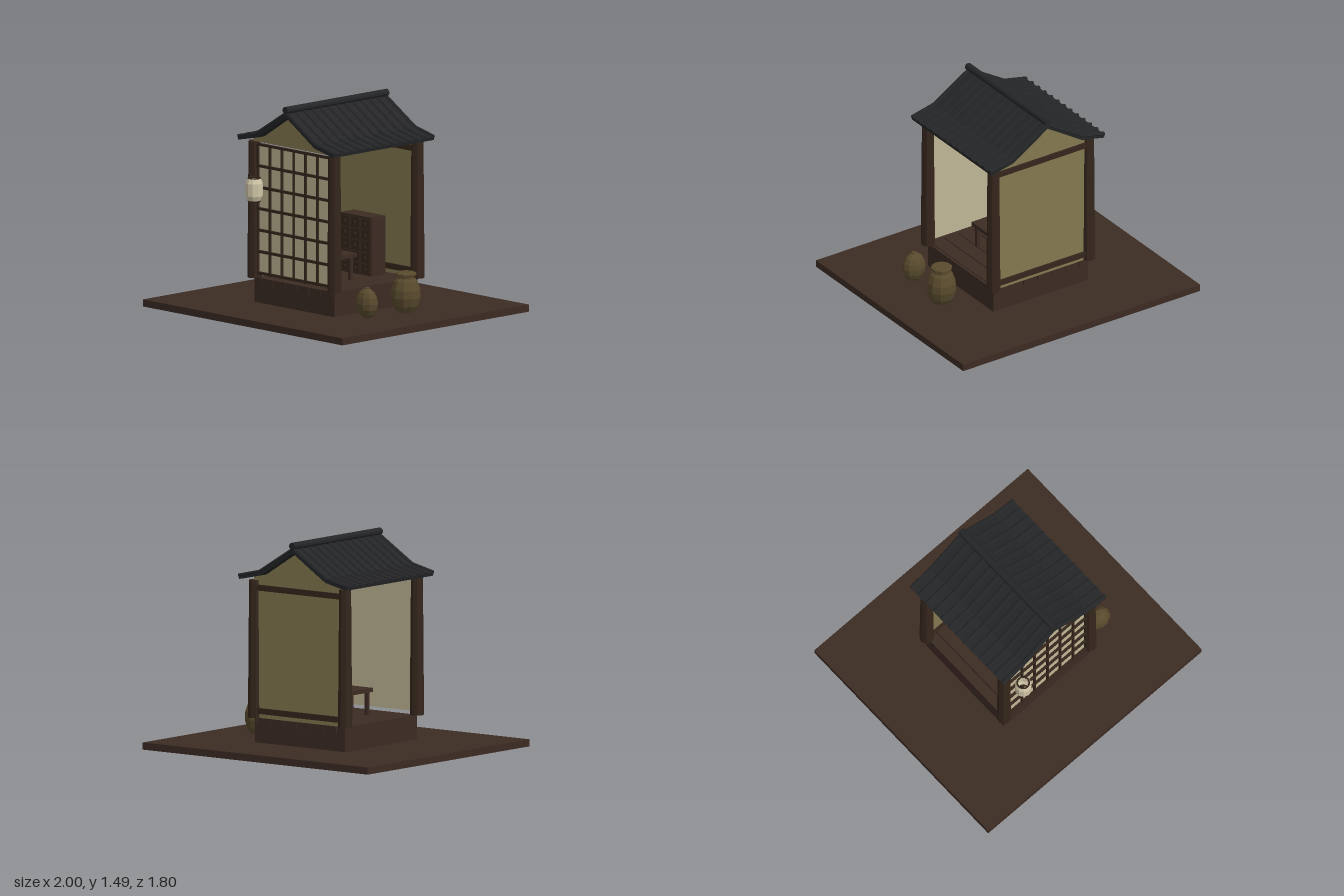
import * as THREE from 'three';

const mat = (name, color) => {
  const m = new THREE.MeshStandardMaterial({ color, flatShading: true });
  m.name = name;
  return m;
};

export function createModel() {
  const root = new THREE.Group();
  root.name = 'teaHouse';
  const wood = mat('brownWood', 0x3c2b23);
  const darkWood = mat('darkWood', 0x35261c);
  const plaster = mat('olivePlaster', 0x83784f);
  const paper = mat('screenPaper', 0xc0b695);
  const lanternPaper = mat('lanternPaper', 0xcfc4a6);
  const tile = mat('roofTile', 0x242527);
  const clay = mat('clay', 0x584a2d);
  lanternPaper.side = clay.side = THREE.DoubleSide;

  const add = (name, geo, material, x = 0, y = 0, z = 0, parent = root) => {
    const m = new THREE.Mesh(geo, material);
    m.name = name;
    m.position.set(x, y, z);
    parent.add(m);
    return m;
  };
  // box from its minimum and maximum corners
  const box = (name, material, x0, x1, y0, y1, z0, z1, parent = root) =>
    add(name, new THREE.BoxGeometry(x1 - x0, y1 - y0, z1 - z0), material,
      (x0 + x1) / 2, (y0 + y1) / 2, (z0 + z1) / 2, parent);
  const group = (name) => {
    const g = new THREE.Group();
    g.name = name;
    root.add(g);
    return g;
  };
  const lathe = (pts, sides) =>
    new THREE.LatheGeometry(pts.map(([r, y]) => new THREE.Vector2(r, y)), sides);
  const extrude = (pts, depth) =>
    new THREE.ExtrudeGeometry(new THREE.Shape(pts.map(([x, y]) => new THREE.Vector2(x, y))),
      { depth, bevelEnabled: false });

  // ground and plinth
  box('ground', wood, -1, 1, 0, 0.05, -0.9, 0.9);
  box('plinth', wood, -0.4, 0.4, 0.05, 0.175, -0.4, 0.4);

  // floor boards with narrow gaps
  const floor = group('floor');
  const pitch = 0.117, gap = 0.006;
  for (let i = 0; i < 8; i++) {
    const x0 = Math.max(-0.4, -0.44 + i * pitch + gap / 2);
    const x1 = Math.min(0.4, -0.44 + (i + 1) * pitch - gap / 2);
    box('floorBoard', wood, x0, x1, 0.175, 0.225, -0.4, 0.4, floor);
  }

  // corner posts
  for (const x of [-0.4, 0.4]) for (const z of [-0.4, 0.4])
    add('cornerPost', new THREE.CylinderGeometry(0.042, 0.05, 0.965, 8), darkWood, x, 0.7075, z);

  // front lattice screen
  const screen = group('frontScreen');
  box('screenPaper', paper, -0.36, 0.36, 0.25, 1.175, 0.392, 0.4, screen);
  for (let i = -3; i <= 3; i++)
    box('verticalBar', darkWood, i * 0.1195 - 0.007, i * 0.1195 + 0.007, 0.25, 1.175, 0.4, 0.415, screen);
  for (let i = 0; i <= 6; i++) {
    const y = 0.263 + i * 0.1515;
    box('horizontalBar', darkWood, -0.365, 0.365, y - 0.009, y + 0.009, 0.4, 0.417, screen);
  }

  // back wall with beams
  const back = group('backWall');
  box('wallPanel', plaster, -0.38, 0.38, 0.225, 1.19, -0.41, -0.39, back);
  for (const y of [0.255, 1.12])
    box('wallBeam', darkWood, -0.38, 0.38, y, y + 0.04, -0.425, -0.375, back);

  // gables
  const gable = [[-0.4, 1.19], [0.4, 1.19], [0.4, 1.212], [0.29, 1.24], [0, 1.425], [-0.29, 1.24], [-0.4, 1.212]];
  for (const z of [-0.41, 0.39])
    add('gable', extrude(gable, 0.02), plaster, 0, 0, z);

  // roof slab, tile ribs and ridge
  const roof = group('roof');
  const slab = [[-0.475, 1.197], [-0.29, 1.237], [0, 1.42], [0.29, 1.237], [0.475, 1.197],
    [0.481, 1.222], [0.296, 1.262], [0, 1.446], [-0.296, 1.262], [-0.481, 1.222]];
  add('roofSlab', extrude(slab, 0.97), tile, 0, 0, -0.485, roof);
  const rib = (a, b, z) => {
    const dx = b[0] - a[0], dy = b[1] - a[1];
    const m = add('tileRib', new THREE.CylinderGeometry(0.015, 0.015, Math.hypot(dx, dy), 6), tile,
      (a[0] + b[0]) / 2, (a[1] + b[1]) / 2, z, roof);
    m.rotation.z = -Math.atan2(dx, dy);
  };
  for (let i = -6; i <= 6; i++) for (const s of [-1, 1]) {
    rib([s * 0.482, 1.222], [s * 0.296, 1.264], i * 0.079);
    rib([s * 0.296, 1.264], [0, 1.446], i * 0.079);
  }
  add('ridge', new THREE.CylinderGeometry(0.026, 0.026, 0.98, 10), tile, 0, 1.468, 0, roof)
    .rotation.x = Math.PI / 2;

  // hanging lantern
  const lantern = group('lantern');
  lantern.position.set(-0.305, 0.87, 0.495);
  add('lanternBody', lathe([[0.045, -0.08], [0.06, -0.045], [0.06, 0.045], [0.045, 0.08]], 10),
    lanternPaper, 0, 0, 0, lantern);
  for (const y of [-0.08, 0.08])
    add('lanternRing', new THREE.TorusGeometry(0.043, 0.006, 4, 10), darkWood, 0, y, 0, lantern)
      .rotation.x = Math.PI / 2;

  // low table
  const table = group('table');
  box('tableTop', wood, -0.17, 0.17, 0.387, 0.415, -0.037, 0.2, table);
  for (const x of [-0.14, 0.14]) for (const z of [-0.005, 0.17])
    box('tableLeg', wood, x - 0.012, x + 0.012, 0.225, 0.387, z - 0.012, z + 0.012, table);

  // chest of drawers
  const chest = group('chest');
  box('chestBody', wood, -0.157, 0.157, 0.225, 0.64, -0.325, -0.193, chest);
  for (let r = 0; r < 5; r++) for (let c = -1; c <= 1; c++) {
    const x = c * 0.1, y = 0.272 + r * 0.08;
    box('drawer', darkWood, x - 0.043, x + 0.043, y - 0.033, y + 0.033, -0.193, -0.186, chest);
    box('drawerKnob', wood, x - 0.008, x + 0.008, y - 0.008, y + 0.008, -0.186, -0.175, chest);
  }

  // large jar
  add('largeJar', lathe([[0, 0.055], [0.06, 0.055], [0.09, 0.1], [0.105, 0.16], [0.102, 0.215], [0.08, 0.275],
    [0.062, 0.295], [0.062, 0.31], [0.075, 0.316], [0.075, 0.33], [0.06, 0.338], [0, 0.338]], 10),
    clay, 0.617, 0, -0.08);

  // small flattened flask
  const flask = group('flask');
  flask.position.set(0.6, 0.162, 0.28);
  const body = new THREE.SphereGeometry(1, 10, 8);
  body.scale(0.088, 0.108, 0.067);
  add('flaskBody', body, clay, 0, 0, 0, flask);
  add('flaskNeck', new THREE.CylinderGeometry(0.018, 0.02, 0.02, 8), clay, 0, 0.102, 0, flask);

  return root;
}
